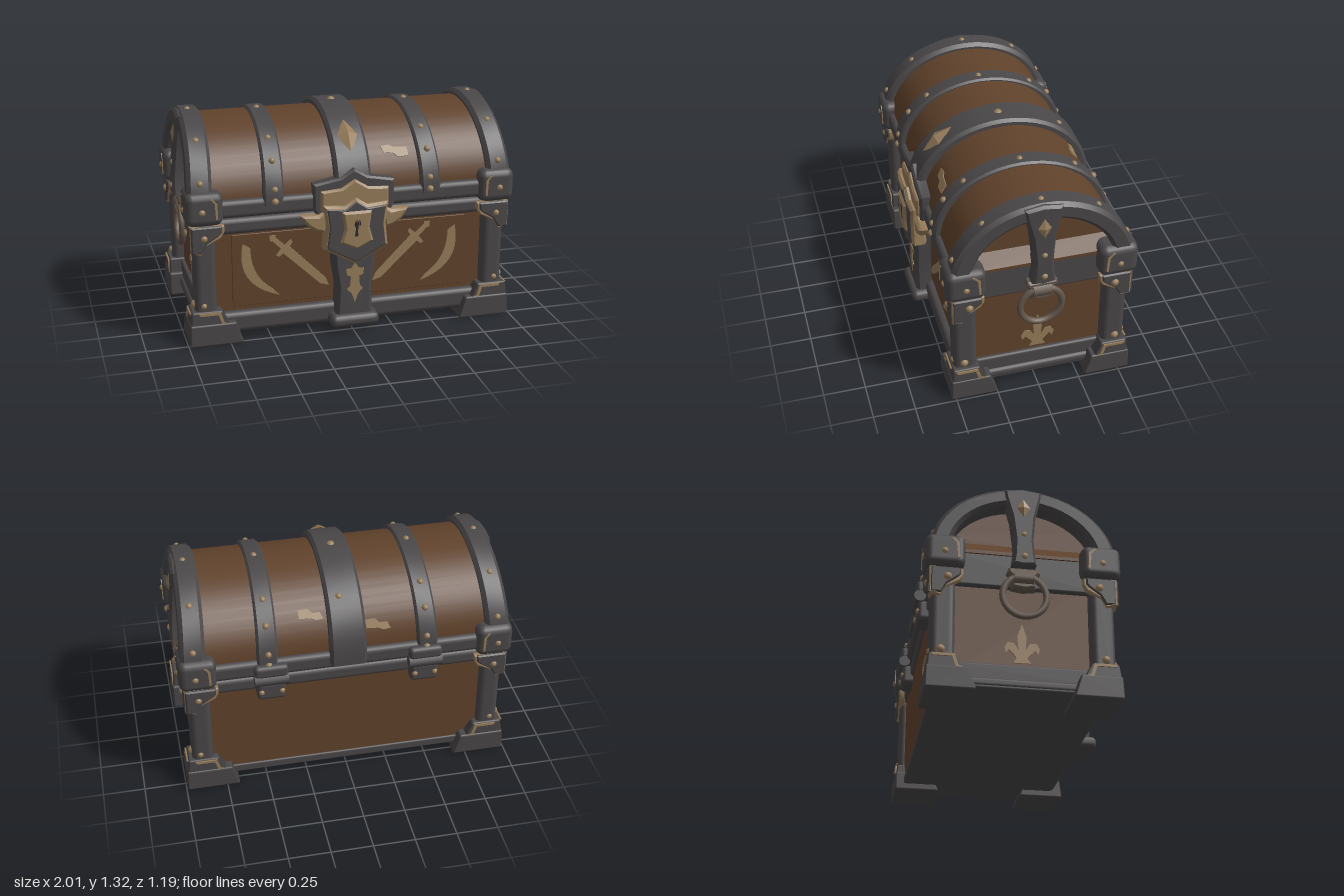
import * as THREE from 'three';
import { toCreasedNormals } from 'three/addons/utils/BufferGeometryUtils.js';
import { RoundedBoxGeometry } from 'three/addons/geometries/RoundedBoxGeometry.js';

const mat = (name, color) => {
  const m = new THREE.MeshStandardMaterial({ color });
  m.name = name;
  return m;
};

export function createModel() {
  const iron = mat('dark iron', 0x4a4748);
  const wood = mat('brown wood', 0x60422b);
  const brass = mat('worn brass', 0x967c5a);
  const bronze = mat('dull bronze', 0x63564b);
  const dark = mat('keyhole black', 0x2a2627);
  const chest = new THREE.Group();
  chest.name = 'treasureChest';
  chest.position.z = -0.02; // the lock sticks out further than the hinges

  // ---- helpers ----
  const mirror = (geo, axis) => {
    const g = geo.index ? geo.toNonIndexed() : geo.clone();
    g.scale(axis === 'x' ? -1 : 1, 1, axis === 'z' ? -1 : 1);
    for (const a of Object.values(g.attributes)) {
      const n = a.itemSize;
      for (let i = 0; i < a.count; i += 3)
        for (let k = 0; k < n; k++) {
          const p = (i + 1) * n + k, q = (i + 2) * n + k;
          [a.array[p], a.array[q]] = [a.array[q], a.array[p]];
        }
    }
    return g;
  };
  // sym: '' one copy, 'x' left and right, 'z' front and back, 'xz' four corners
  const add = (name, geo, material, sym = '') => {
    let list = [geo];
    for (const axis of sym) list = list.concat(list.map((g) => mirror(g, axis)));
    for (const g of list) {
      const m = new THREE.Mesh(g, material);
      m.name = name;
      chest.add(m);
    }
  };
  // rounded box from its limits
  const box = (x0, x1, y0, y1, z0, z1, r = 0.015) =>
    new RoundedBoxGeometry(x1 - x0, y1 - y0, z1 - z0, 2, r)
      .translate((x0 + x1) / 2, (y0 + y1) / 2, (z0 + z1) / 2);
  // rounded box whose four sides draw in towards the top: dIn on the inner sides, dOut on the outer ones
  const frustum = (x0, x1, y0, y1, z0, z1, r, dIn, dOut) => {
    const g = box(x0, x1, y0, y1, z0, z1, r), p = g.attributes.position;
    for (let i = 0; i < p.count; i++) {
      const t = (p.getY(i) - y0) / (y1 - y0);
      const u = (p.getX(i) - x0) / (x1 - x0), v = (p.getZ(i) - z0) / (z1 - z0);
      p.setX(i, p.getX(i) + t * (dIn * (1 - u) - dOut * u));
      p.setZ(i, p.getZ(i) + t * (dIn * (1 - v) - dOut * v));
    }
    return g;
  };
  const toShape = (pts) => new THREE.Shape(pts.map((p) => new THREE.Vector2(p[0], p[1])));
  const extrude = (shape, depth, b = 0) => {
    const g = new THREE.ExtrudeGeometry(shape, {
      depth: depth - 2 * b, bevelEnabled: b > 0, bevelSize: b, bevelOffset: -b,
      bevelThickness: b, bevelSegments: 1, curveSegments: 10,
    }).translate(0, 0, b);
    return toCreasedNormals(g, 0.6);
  };
  const plateZ = (pts, z, depth, b = 0) => extrude(toShape(pts), depth, b).translate(0, 0, z);
  const plateX = (pts, x, depth, b = 0) => // points are (z, y)
    extrude(toShape(pts.map(([z, y]) => [-z, y])), depth, b).rotateY(Math.PI / 2).translate(x, 0, 0);
  const half = (pts) => // complete a symmetric outline from its right half
    pts.concat(pts.filter((p) => p[0] > 0).reverse().map(([x, y]) => [-x, y]));
  const lean = (g) => { // lid parts draw inward with height
    const p = g.attributes.position;
    for (let i = 0; i < p.count; i++)
      p.setX(i, p.getX(i) * (1 - 0.08 * Math.max(0, p.getY(i) - 0.87)));
    return g;
  };
  const YB = 0.85;
  const arc = (a, b) => Array.from({ length: 25 }, (_, i) => {
    const t = (i / 24) * Math.PI;
    return [a * Math.cos(t), YB + b * Math.sin(t)];
  });
  const arch = (a, b, a2, b2, y0, x, w, bevel = 0.012) => lean(plateX(
    [[a, y0], ...arc(a, b), [-a, y0], [-a2, y0], ...arc(a2, b2).reverse(), [a2, y0]], x - w / 2, w, bevel));
  const rivet = (x, y, z, sym, r = 0.02) =>
    add('rivet', new THREE.SphereGeometry(r, 10, 7).translate(x, y, z), brass, sym);
  const onLid = (g, x, deg, a, b) => { // lay a flat part on the curved lid
    const t = deg * Math.PI / 180;
    return g.rotateX(-Math.atan2(Math.sin(t) / b, Math.cos(t) / a))
      .translate(x, YB + b * Math.sin(t), a * Math.cos(t));
  };

  // ---- body ----
  add('bodyBox', box(-0.88, 0.88, 0.07, 0.78, -0.48, 0.455, 0.005), wood);
  add('frontPanel', box(-0.72, 0.72, 0.2, 0.65, 0.44, 0.462, 0.004), wood);
  add('basePlate', box(-0.92, 0.92, 0.045, 0.1, -0.49, 0.48, 0.01), iron);
  add('frontBottomRail', box(-0.8, 0.8, 0.05, 0.175, 0.42, 0.5, 0.03), iron);
  add('sideBottomRail', box(0.84, 0.925, 0.05, 0.11, -0.4, 0.4, 0.025), iron, 'x');
  add('sideLowerBoard', box(0.84, 0.905, 0.09, 0.2, -0.42, 0.42, 0.015), iron, 'x');
  add('sideUpperBoard', box(0.84, 0.91, 0.67, 0.885, -0.42, 0.42, 0.015), iron, 'x');
  add('bodyRim', box(-0.85, 0.85, 0.665, 0.762, 0.42, 0.5, 0.03), iron, 'z');
  add('cornerPost', box(0.82, 0.95, 0.15, 0.78, 0.38, 0.52, 0.04), iron, 'xz');

  // ---- feet and corner brackets ----
  add('footBase', frustum(0.67, 0.992, 0, 0.135, 0.265, 0.548, 0.012, 0.045, 0.005), iron, 'xz');
  add('footTop', frustum(0.74, 0.985, 0.11, 0.212, 0.32, 0.54, 0.012, 0.055, 0.012), iron, 'xz');
  const edge = (o) => [[o + 0.02, 0.13], [o + 0.05, 0.14], [o + 0.07, 0.205],
    [o + 0.2, 0.205], [o + 0.19, 0.19], [o + 0.085, 0.19], [o + 0.065, 0.13]];
  add('footTrim', plateZ(edge(0.735), 0.531, 0.009), brass, 'xz');
  add('footTrim', plateX(edge(0.315), 0.976, 0.009), brass, 'xz');
  rivet(0.9, 0.245, 0.512, 'xz');
  rivet(0.945, 0.245, 0.46, 'xz', 0.025);
  const bracket = (o, e, s) => [[o, 0.74], [e, 0.74], [e, 0.58], [e - 0.06, 0.565 + s], [e - 0.09, 0.62 + s],
    [o + 0.02, 0.665 + s], [o, 0.7]];
  add('bracketTrim', plateZ(bracket(0.77, 0.97, 0), 0.49, 0.042, 0.006), brass, 'xz');
  add('bracketFront', plateZ(bracket(0.785, 0.965, 0.015), 0.5, 0.042, 0.008), iron, 'xz');
  add('bracketTrim', plateX(bracket(0.34, 0.53, 0), 0.925, 0.04, 0.006), brass, 'xz');
  add('bracketSide', plateX(bracket(0.355, 0.525, 0.015), 0.935, 0.04, 0.008), iron, 'xz');
  rivet(0.89, 0.67, 0.533, 'xz', 0.022);
  rivet(0.968, 0.68, 0.43, 'xz', 0.025);

  // ---- lid ----
  add('lidBarrel', lean(plateX([[0.49, 0.78], ...arc(0.49, 0.418), [-0.49, 0.78]], -0.86, 1.72)), wood);
  add('lidEndLedge', plateZ([[0.82, 0.87], [0.92, 0.87], [0.92, 0.89], [0.845, 0.975], [0.82, 0.975]],
    -0.43, 0.86), wood, 'x');
  add('lidRim', box(-0.87, 0.87, 0.772, 0.88, 0.42, 0.525, 0.03), iron, 'z');
  add('lidEndArch', arch(0.535, 0.455, 0.42, 0.35, 0.8, 0.91, 0.145, 0.022), iron, 'x');
  add('lidBand', arch(0.53, 0.435, 0.47, 0.39, 0.83, 0.478, 0.12), iron, 'x');
  add('lidCentreBand', arch(0.545, 0.458, 0.47, 0.39, 0.8, 0, 0.22, 0.018), iron);
  add('lidCorner', box(0.775, 0.995, 0.745, 0.945, 0.33, 0.56, 0.045), iron, 'xz');
  add('lidCornerTrim', plateZ([[0.81, 0.79], [0.822, 0.79], [0.827, 0.885], [0.85, 0.912], [0.835, 0.912], [0.812, 0.885]],
    0.555, 0.008), brass, 'xz');
  add('lidCornerTrim', plateX([[0.365, 0.79], [0.377, 0.79], [0.385, 0.885], [0.415, 0.915], [0.4, 0.915], [0.37, 0.89]],
    0.99, 0.008), brass, 'xz');
  rivet(0.9, 0.835, 0.55, 'xz', 0.022);
  rivet(0.985, 0.83, 0.45, 'xz', 0.022);
  for (const deg of [51, 90]) {
    const t = deg * Math.PI / 180, c = Math.cos(t), s = Math.sin(t), sym = deg === 90 ? 'x' : 'xz';
    rivet(0.478 * (1 - 0.03 * s), YB + 0.428 * s, 0.522 * c, sym);
    rivet(0.91 * (1 - 0.03 * s), YB + 0.446 * s, 0.526 * c, sym);
  }
  rivet(0.9, 0.99, 0.503, 'xz');
  rivet(0.47, 1.08, 0.449, 'xz');
  rivet(0.47, 0.855, 0.527, 'xz', 0.022);
  rivet(0.47, 0.925, 0.518, 'xz');
  rivet(0, 1.29, 0, '', 0.03);
  rivet(0.03, 1.175, -0.372, '');
  add('frontDiamond', onLid(new THREE.OctahedronGeometry(1).scale(0.072, 0.115, 0.034), 0, 46, 0.54, 0.453), brass);

  // ---- lid end straps ----
  const strap = half([[0, 1.3], [0.11, 1.285], [0.105, 1.24], [0.07, 1.1], [0.055, 0.95], [0.06, 0.85], [0.07, 0.785], [0, 0.775]]);
  add('endStrap', lean(plateX(strap, 0.88, 0.115, 0.015)), iron, 'x');
  add('endDiamond', lean(new THREE.OctahedronGeometry(1).scale(0.026, 0.1, 0.064).translate(0.985, 1.16, 0)), brass, 'x');
  rivet(0.977, 0.98, 0, 'x');
  rivet(0.985, 0.835, 0, 'x', 0.022);

  // ---- ring handles ----
  add('handleMount', plateX(half([[0, 0.775], [0.085, 0.775], [0.095, 0.745], [0.07, 0.72], [0.07, 0.65], [0, 0.64]]),
    0.89, 0.075, 0.015), bronze, 'x');
  add('handleLoop', new THREE.CylinderGeometry(0.042, 0.042, 0.11, 12).rotateX(Math.PI / 2).translate(0.945, 0.71, 0), bronze, 'x');
  add('handleRing', new THREE.TorusGeometry(0.125, 0.02, 8, 28).rotateY(Math.PI / 2).translate(0.955, 0.6, 0.005), bronze, 'x');

  // ---- painted details ----
  const lily = half([[0, 0.46], [0.027, 0.38], [0.02, 0.3], [0.045, 0.34], [0.08, 0.345], [0.1, 0.31], [0.09, 0.275],
    [0.075, 0.3], [0.045, 0.27], [0.03, 0.25], [0.05, 0.22], [0, 0.22]]);
  add('sideLily', plateX(lily, 0.878, 0.008), brass, 'x');
  const sword = plateZ([[0, 0], [0.05, 0.022], [0.36, 0.028], [0.365, 0.06], [0.385, 0.065], [0.39, 0.016], [0.46, 0.014],
    [0.475, 0.024], [0.5, 0], [0.475, -0.024], [0.46, -0.014], [0.39, -0.016], [0.385, -0.065], [0.365, -0.06],
    [0.36, -0.028], [0.05, -0.026]], 0.46, 0.008);
  add('paintedSword', sword.rotateZ(0.77).translate(0.135, 0.28, 0), brass, 'x');
  const sabre = new THREE.Shape();
  sabre.moveTo(0.655, 0.59);
  sabre.quadraticCurveTo(0.71, 0.33, 0.44, 0.25);
  sabre.lineTo(0.475, 0.29);
  sabre.quadraticCurveTo(0.61, 0.38, 0.61, 0.56);
  add('paintedSabre', extrude(sabre, 0.008).translate(0, 0, 0.46), brass, 'x');
  const scuff = [[-0.08, 0.035], [-0.03, 0.04], [0, 0.025], [0.08, 0.02], [0.085, -0.035], [0.02, -0.04], [-0.01, -0.01], [-0.06, -0.01]];
  for (const [x, deg, s] of [[0.275, 32, 1], [0.2, 145, 0.9], [-0.19, 158, 0.9]])
    add('lidScuff', onLid(plateZ(scuff, -0.003, 0.008).scale(s, s, 1), x, deg, 0.49, 0.418), brass);

  // ---- lock strap ----
  add('lockStrap', plateZ(half([[0, 0.6], [0.135, 0.6], [0.125, 0.42], [0.105, 0.3], [0.115, 0.06], [0, 0.06]]), 0.44, 0.12, 0.02), iron);
  add('lockStrapFoot', box(-0.15, 0.15, 0.042, 0.12, 0.42, 0.595, 0.035), iron);
  add('lockStrapOrnament', plateZ(half([[0, 0.45], [0.025, 0.41], [0.055, 0.41], [0.05, 0.37], [0.025, 0.36], [0.03, 0.3],
    [0.05, 0.28], [0.02, 0.25], [0, 0.19]]), 0.556, 0.008), brass);

  // ---- lock shield, stacked from back to front ----
  const crest = (k) => half([[0, 1.02 - 1.5 * k], [0.08, 0.97 - 1.5 * k], [0.245 - k, 0.94 - k], [0.245 - k, 0.79],
    [0.2 - k, 0.7], [0, 0.62]]);
  add('lockBackPlate', plateZ(crest(0), 0.46, 0.08, 0.012), iron);
  add('lockCrest', plateZ(crest(0.04), 0.52, 0.04, 0.012), brass);
  add('lockWing', plateZ([[0.16, 0.79], [0.22, 0.76], [0.33, 0.765], [0.29, 0.7], [0.24, 0.665], [0.18, 0.65]],
    0.5, 0.07, 0.018), brass, 'x');
  const shield = (k) => half([[0, 0.855 - k], [0.07, 0.81 - k], [0.195 - k, 0.82 - k], [0.18 - k, 0.69], [0.195 - k, 0.55 + k / 2], [0, 0.445 + k]]);
  add('lockShieldTrim', plateZ(shield(0), 0.5, 0.09, 0.015), brass);
  add('lockShieldFace', plateZ(shield(0.018), 0.54, 0.058, 0.006), iron);
  add('keyholeFrame', plateZ(half([[0, 0.785], [0.095, 0.785], [0.08, 0.68], [0.105, 0.59], [0, 0.54]]), 0.57, 0.042, 0.018), brass);
  add('keyhole', plateZ(half([[0, 0.735], [0.016, 0.725], [0.021, 0.705], [0.01, 0.68], [0.016, 0.63], [0, 0.63]]), 0.606, 0.006), dark);

  // ---- hinges ----
  add('hingeUpperLeaf', box(0.36, 0.56, 0.785, 0.865, -0.565, -0.5, 0.025), iron, 'x');
  add('hingeLowerLeaf', box(0.375, 0.545, 0.62, 0.745, -0.55, -0.46, 0.025), iron, 'x');
  add('hingeBarrel', new THREE.CylinderGeometry(0.036, 0.036, 0.2, 12).rotateZ(Math.PI / 2).translate(0.46, 0.765, -0.54), iron, 'x');
  rivet(0.4, 0.68, -0.545, 'x', 0.018);
  rivet(0.52, 0.68, -0.545, 'x', 0.018);

  const root = new THREE.Group();
  root.name = 'chestModel';
  root.add(chest);
  return root;
}
